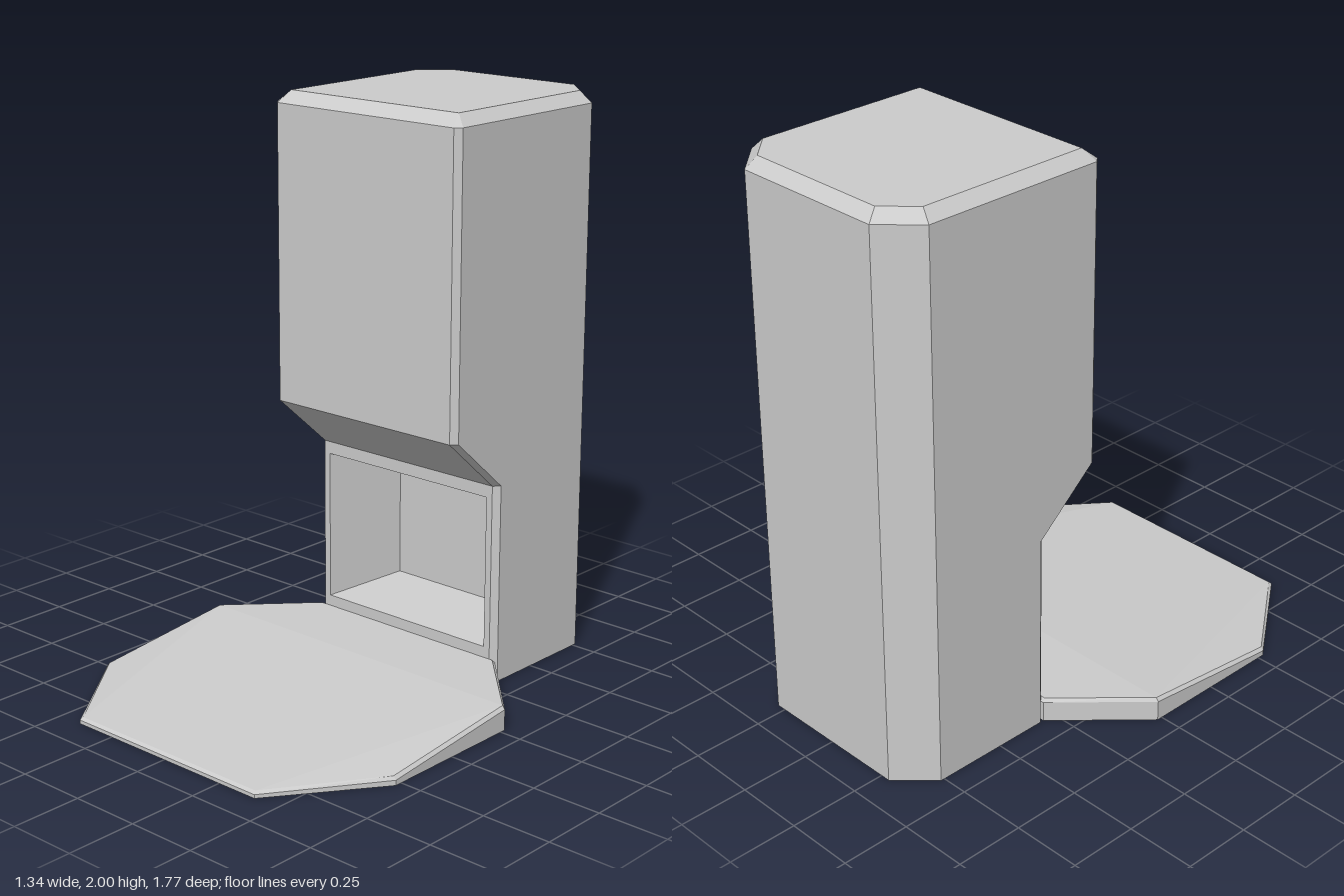
import * as THREE from 'three';

const material = new THREE.MeshStandardMaterial({ color: 0xcccccc, flatShading: true, side: THREE.DoubleSide });

// Joins closed loops of points with quads; skip(band, side) leaves a quad open.
// caps: lists of triangles as [loop index, corner triples].
function loft(name, loops, caps, skip = () => false) {
  const pos = [];
  const tri = (a, b, c) => pos.push(...a, ...b, ...c);
  for (let k = 0; k < loops.length - 1; k++) {
    const a = loops[k], b = loops[k + 1], n = a.length;
    for (let i = 0; i < n; i++) {
      if (skip(k, i)) continue;
      const j = (i + 1) % n;
      tri(a[i], a[j], b[j]);
      tri(a[i], b[j], b[i]);
    }
  }
  for (const [k, tris] of caps) {
    for (const [a, b, c] of tris) tri(loops[k][a], loops[k][b], loops[k][c]);
  }
  const geometry = new THREE.BufferGeometry();
  geometry.setAttribute('position', new THREE.Float32BufferAttribute(pos, 3));
  geometry.computeVertexNormals();
  const mesh = new THREE.Mesh(geometry, material);
  mesh.name = name;
  return mesh;
}

// Right half of a loop, front to back, completed by its mirror image
const mirrored = (half) => [...half, ...half.slice().reverse().map(([x, y, z]) => [-x, y, z])];
const fan = (n) => Array.from({ length: n - 2 }, (_, i) => [0, i + 1, i + 2]);

export function createModel() {
  const group = new THREE.Group();
  const lowerFront = -0.292, upperFront = -0.062, neckY = 0.715;

  // Tower: chamfered column, open underneath, stepping forward above the recess
  const section = (y, front) => mirrored([
    [0.385, y, front], [0.405, y, front - 0.022], [0.405, y, -0.765], [0.285, y, -0.885],
  ]);
  const top = mirrored([[0.365, 2, -0.11], [0.365, 2, -0.11], [0.365, 2, -0.75], [0.268, 2, -0.847]]);
  group.add(loft('tower', [
    section(0, lowerFront),
    section(neckY, lowerFront),
    section(0.915, upperFront),
    section(1.96, upperFront),
    top,
  ], [[4, fan(8)]], (band, side) => band === 0 && side === 7));

  // Lower front panel with its tapering recess
  const rect = (x, y0, y1, z) => [[-x, y0, z], [x, y0, z], [x, y1, z], [-x, y1, z]];
  group.add(loft('recessPanel', [
    rect(0.385, 0, neckY, lowerFront),
    rect(0.36, 0.125, 0.67, lowerFront),
    rect(0.265, 0.165, 0.567, -0.57),
  ], [[2, fan(4)]]));

  // Base plate: wedge-shaped octagon, thin at the front, with a fine bevelled rim
  const plate = (inset, [y0, y1, y2]) => mirrored([
    [0.405 - inset / 2, y0, 0.885 - inset], [0.67 - inset, y1, 0.525],
    [0.67 - inset, y2, -0.02], [0.405 - inset / 2, y2, -0.3 + inset],
  ]);
  group.add(loft('basePlate', [
    plate(0, [0, 0, 0]),
    plate(0, [0.013, 0.018, 0.074]),
    plate(0.01, [0.022, 0.03, 0.086]),
  ], [
    [0, fan(8).map(([a, b, c]) => [a, c, b])],
    [2, [[0, 1, 2], [7, 5, 6], [0, 2, 5], [0, 5, 7], [2, 3, 4], [2, 4, 5]]],
  ]));

  return group;
}
